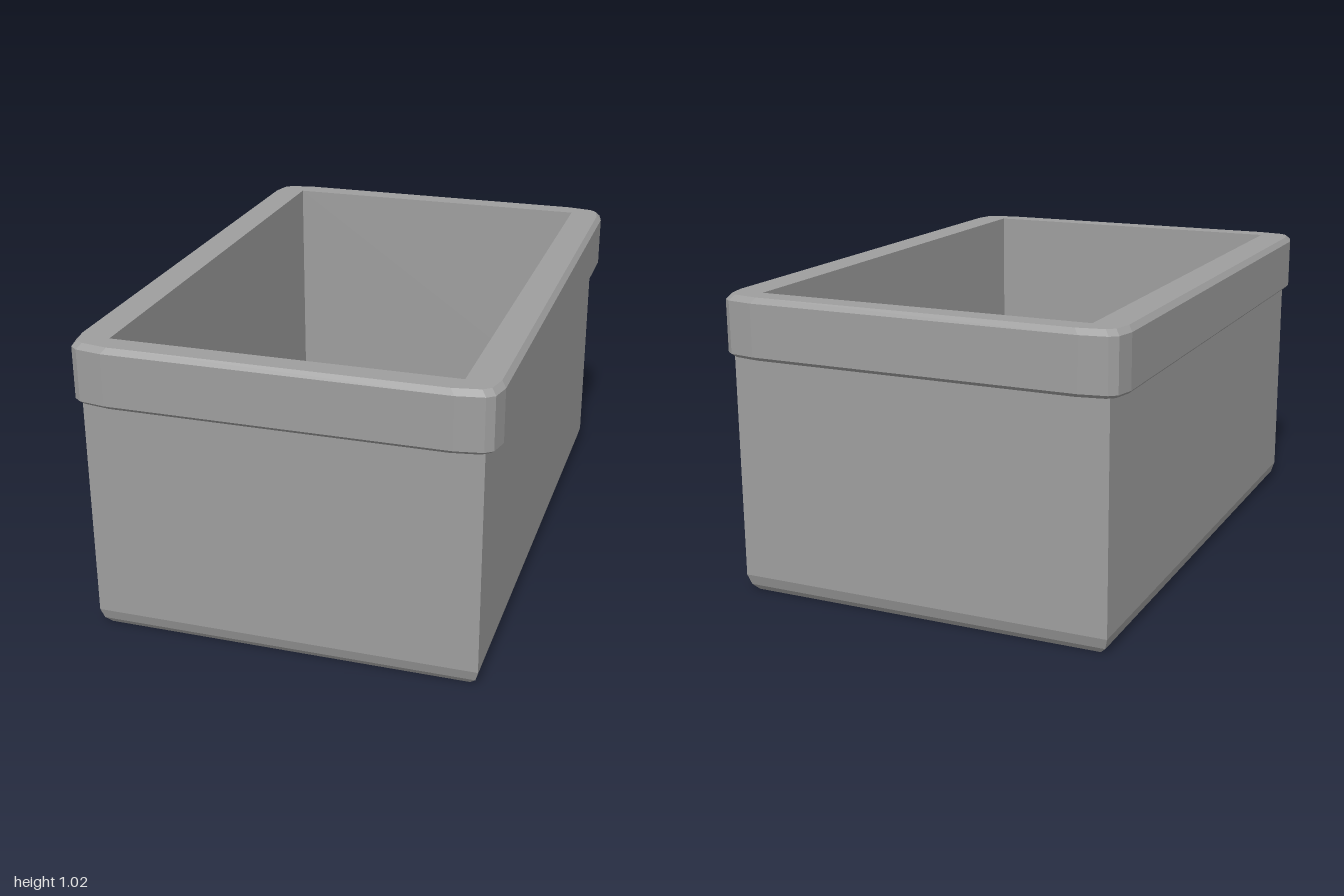
import * as THREE from 'three';

// Insets [x, z] of the four points that soften each corner of the rim
const SOFT = [[0, 0.1], [0.015, 0.035], [0.04, 0.015], [0.13, 0]];

// Closed 16-point outline in the xz plane; soft = 0 gives a sharp rectangle
function outline([hx, hz, y, soft = 0]) {
  const points = [];
  for (const [sx, sz] of [[1, 1], [-1, 1], [-1, -1], [1, -1]]) {
    const corner = SOFT.map(([dx, dz]) =>
      new THREE.Vector3(sx * (hx - dx * soft), y, sz * (hz - dz * soft)));
    points.push(...(sx * sz > 0 ? corner : corner.reverse()));
  }
  return points;
}

// Flat-faced skin through a list of [halfX, halfZ, y, soft] sections
function loft(sections, { capStart = false, capEnd = false } = {}) {
  const loops = sections.map(outline);
  const positions = [];
  const tri = (a, b, c) => {
    const area = b.clone().sub(a).cross(c.clone().sub(a)).length();
    if (area > 1e-8) for (const p of [a, b, c]) positions.push(p.x, p.y, p.z);
  };
  for (let i = 0; i < loops.length - 1; i++) {
    const low = loops[i], high = loops[i + 1], n = low.length;
    for (let j = 0; j < n; j++) {
      const k = (j + 1) % n;
      tri(low[j], high[j], high[k]);
      tri(low[j], high[k], low[k]);
    }
  }
  const fan = (loop, flip) => {
    for (let j = 1; j < loop.length - 1; j++) {
      if (flip) tri(loop[0], loop[j + 1], loop[j]);
      else tri(loop[0], loop[j], loop[j + 1]);
    }
  };
  if (capStart) fan(loops[0], false);
  if (capEnd) fan(loops[loops.length - 1], true);
  const geometry = new THREE.BufferGeometry();
  geometry.setAttribute('position', new THREE.Float32BufferAttribute(positions, 3));
  geometry.computeVertexNormals();
  return geometry;
}

export function createModel() {
  const grey = new THREE.MeshStandardMaterial({ color: 0x9e9e9e });
  grey.name = 'grey';
  const group = new THREE.Group();
  group.name = 'openBox';
  const add = (name, geometry) => {
    const mesh = new THREE.Mesh(geometry, grey);
    mesh.name = name;
    group.add(mesh);
  };

  // Outer body with a bevelled base
  add('body', loft([
    [0.62, 0.94, 0],
    [0.64, 0.955, 0.02],
    [0.65, 0.967, 0.057],
    [0.65, 0.967, 0.85],
  ], { capStart: true }));

  // Overhanging rim, from its underside up and in to the opening
  add('rim', loft([
    [0.62, 0.94, 0.813],
    [0.678, 0.988, 0.813, 1],
    [0.69, 1, 0.825, 1],
    [0.69, 1, 1, 1],
    [0.675, 0.985, 1.018, 1],
    [0.57, 0.91, 1.018],
  ]));

  // Inner walls, bevelled down to the floor
  add('interior', loft([
    [0.57, 0.91, 1.018],
    [0.57, 0.91, 0.23],
    [0.51, 0.855, 0.145],
    [0.45, 0.8, 0.115],
  ], { capEnd: true }));

  return group;
}
